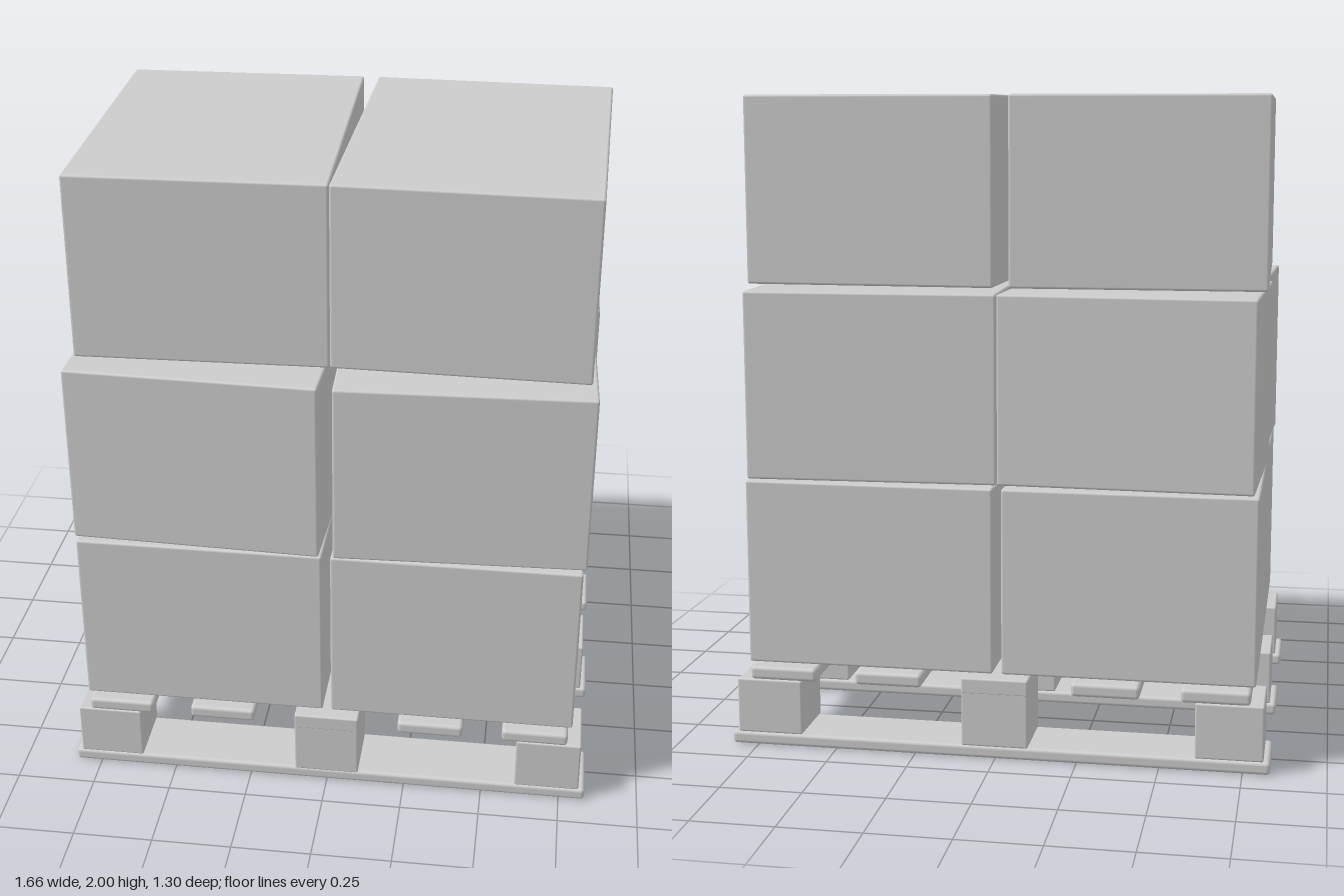
import * as THREE from 'three';
import { RoundedBoxGeometry } from 'three/addons/geometries/RoundedBoxGeometry.js';

export function createModel() {
  const model = new THREE.Group();
  model.name = 'loadedPallet';
  const grey = new THREE.MeshStandardMaterial({ color: 0xcccccc });
  grey.name = 'light grey';

  // Softened box: size, centre, edge radius, turn about y in degrees
  function addBox(parent, name, size, centre, radius, turn = 0) {
    const mesh = new THREE.Mesh(new RoundedBoxGeometry(...size, 2, radius), grey);
    mesh.name = name;
    mesh.position.set(...centre);
    mesh.rotation.y = THREE.MathUtils.degToRad(turn);
    parent.add(mesh);
  }

  // Pallet: three runners, nine blocks, five deck boards
  const pallet = new THREE.Group();
  pallet.name = 'pallet';
  model.add(pallet);
  for (const z of [-0.54, 0, 0.54]) {
    addBox(pallet, 'bottomBoard', [1.665, 0.04, 0.205], [0, 0.02, z], 0.012);
    for (const x of [-0.71, 0, 0.71]) {
      // The middle blocks end flush with the middle deck board
      const shift = x === 0 ? Math.sign(z) * 0.006 : 0;
      addBox(pallet, 'block', [0.205, 0.172, 0.205], [x, 0.126, z + shift], 0.006);
    }
  }
  for (const x of [-0.668, -0.337, 0.332, 0.664]) {
    addBox(pallet, 'deckBoard', [0.208, 0.042, 1.292], [x, 0.233, 0], 0.012);
  }
  addBox(pallet, 'middleDeckBoard', [0.205, 0.05, 1.298], [0, 0.229, 0], 0.006);

  // Boxes: two layers of four, then two long ones on top
  const load = new THREE.Group();
  load.name = 'boxes';
  model.add(load);
  for (const side of [-1, 1]) {
    for (const end of [-1, 1]) {
      addBox(load, 'lowerBox', [0.77, 0.575, 0.605], [side * 0.398 - 0.002, 0.547, end * 0.312], 0.008);
      addBox(load, 'middleBox', [0.77, 0.575, 0.605], [side * 0.396, 1.13, end * 0.314], 0.008, side * 2);
    }
    addBox(load, 'topBox', [0.77, 0.572, 1.04], [side * 0.397, 1.714, 0], 0.008, side * -1.3);
  }
  return model;
}
